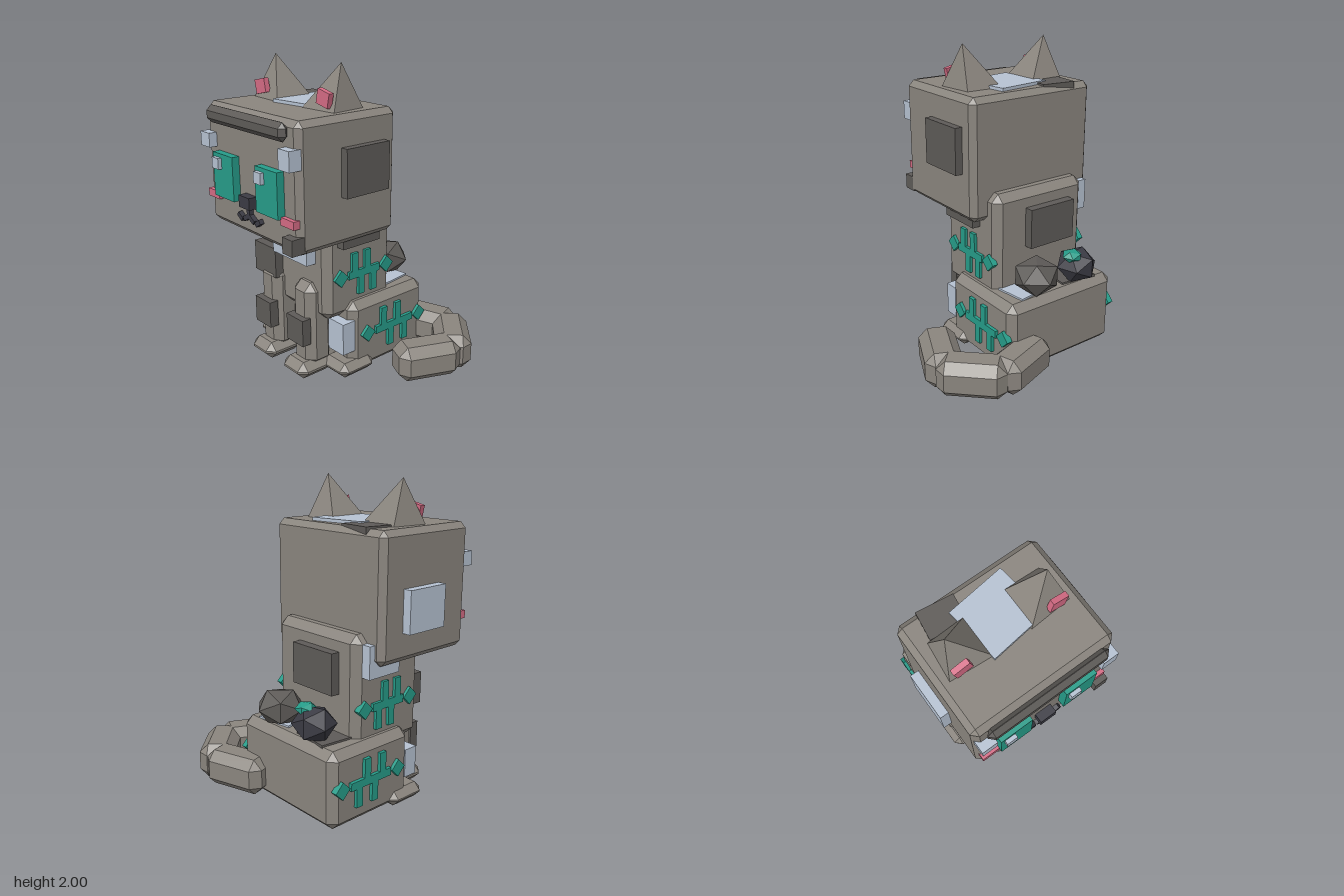
import * as THREE from 'three';
import { ConvexGeometry } from 'three/addons/geometries/ConvexGeometry.js';

const material = (name, color) => {
  const m = new THREE.MeshStandardMaterial({ color });
  m.name = name;
  return m;
};

// Box with single flat bevels along every edge
function chamferBox(w, h, d, b) {
  const pts = [], half = [w / 2, h / 2, d / 2];
  for (const sx of [-1, 1]) for (const sy of [-1, 1]) for (const sz of [-1, 1])
    for (let axis = 0; axis < 3; axis++) {
      const p = [sx, sy, sz].map((s, i) => s * (half[i] - (i === axis ? 0 : b)));
      pts.push(new THREE.Vector3(...p));
    }
  return new ConvexGeometry(pts);
}

export function createModel() {
  const fur = material('grey fur', 0x8a857e);
  const dark = material('dark fur patch', 0x5e5b58);
  const pale = material('pale blue patch', 0xb6c2d2);
  const teal = material('teal', 0x269c89);
  const pink = material('pink', 0xd46b84);
  const ink = material('ink', 0x3b3b44);

  const model = new THREE.Group();
  model.name = 'sittingCat';
  const MID = -0.2; // symmetry plane of the body

  function add(name, geometry, mat, x, y, z, parent = model) {
    const mesh = new THREE.Mesh(geometry, mat);
    mesh.name = name;
    mesh.position.set(x, y, z);
    parent.add(mesh);
    return mesh;
  }
  // Boxes are given by their extents on each axis
  function block(name, mat, x0, x1, y0, y1, z0, z1, bevel = 0) {
    const s = [x1 - x0, y1 - y0, z1 - z0];
    const g = bevel ? chamferBox(...s, bevel) : new THREE.BoxGeometry(...s);
    return add(name, g, mat, (x0 + x1) / 2, (y0 + y1) / 2, (z0 + z1) / 2);
  }

  // Main masses
  block('head', fur, -0.67, 0.27, 0.95, 1.73, -0.14, 0.61, 0.037);
  block('torso', fur, -0.56, 0.16, 0.40, 1.13, -0.23, 0.33, 0.05);
  block('haunches', fur, -0.63, 0.23, 0.01, 0.50, -0.475, 0.18, 0.05);
  block('browRidge', dark, -0.6, 0.2, 1.61, 1.72, 0.6, 0.667, 0.032);

  // Legs, paws, ears, eyes and cheeks, mirrored
  for (const s of [-1, 1]) {
    const leg = MID + s * 0.175, hind = MID + s * 0.345;
    block('frontLeg', fur, leg - 0.1, leg + 0.1, 0.06, 0.64, 0.2, 0.4, 0.052);
    block('frontPaw', fur, leg - 0.12, leg + 0.12, 0, 0.115, 0.2, 0.485, 0.05);
    block('hindPaw', fur, hind - 0.125, hind + 0.125, 0.01, 0.11, 0, 0.285, 0.045);
    block('legPatch', dark, leg - 0.083, leg + 0.083, 0.235, 0.415, 0.38, 0.445);

    const at = (x, y, z) => new THREE.Vector3(s * x, y, z);
    add('ear', new ConvexGeometry([
      at(0.37, 1.73, 0.045), at(0.11, 1.71, 0.025), at(0.11, 1.71, 0.32),
      at(0.395, 1.73, 0.29), at(0.32, 2, 0.17),
    ]), fur, MID, 0, 0);
    const inner = add('innerEar', new THREE.BoxGeometry(0.105, 0.09, 0.035), pink, MID + s * 0.31, 1.805, 0.288);
    inner.rotation.z = -s * 0.22;

    const eye = MID + s * 0.227;
    block('eye', teal, eye - 0.108, eye + 0.108, 1.155, 1.435, 0.58, 0.66);
    const glint = MID + s * 0.225 - 0.05;
    block('eyeGlint', pale, glint - 0.035, glint + 0.035, 1.34, 1.41, 0.64, 0.685);
    const cheek = MID + s * 0.388;
    block('cheek', pink, cheek - 0.063, cheek + 0.063, 1.12, 1.17, 0.59, 0.637);
  }

  // Nose and mouth strokes
  block('nose', ink, -0.255, -0.145, 1.145, 1.22, 0.58, 0.667);
  function stroke(x0, y0, x1, y1) {
    const g = new THREE.BoxGeometry(Math.hypot(x1 - x0, y1 - y0) + 0.01, 0.03, 0.05);
    add('mouth', g, ink, (x0 + x1) / 2, (y0 + y1) / 2, 0.615).rotation.z = Math.atan2(y1 - y0, x1 - x0);
  }
  stroke(MID, 1.16, MID, 1.08);
  for (const s of [-1, 1]) {
    stroke(MID, 1.092, MID + s * 0.05, 1.063);
    stroke(MID + s * 0.075, 1.055, MID + s * 0.112, 1.08);
  }

  // Coat patches
  block('facePatch', pale, -0.66, -0.56, 1.455, 1.545, 0.56, 0.665);
  block('facePatch', pale, 0.16, 0.262, 1.46, 1.58, 0.56, 0.665);
  block('chinPatch', dark, 0.175, 0.268, 0.97, 1.07, 0.56, 0.665);
  block('headSidePatch', pale, -0.725, -0.65, 1.13, 1.39, 0.035, 0.34);
  block('headSidePatch', dark, 0.25, 0.32, 1.25, 1.545, -0.035, 0.3);
  block('chestPatch', pale, -0.295, 0.055, 0.775, 1.06, 0.3, 0.4);
  block('chestPatch', dark, -0.52, -0.29, 0.58, 0.785, 0.3, 0.39);
  block('torsoSidePatch', pale, -0.62, -0.54, 0.88, 1.08, -0.18, 0.07);
  block('torsoSidePatch', dark, 0.14, 0.218, 0.89, 1.09, -0.06, 0.24);
  block('backPatch', dark, -0.42, -0.07, 0.755, 1.015, -0.29, -0.2);
  block('haunchPatch', pale, -0.62, -0.48, 0.165, 0.35, 0.15, 0.248);
  block('haunchPatch', pale, 0.075, 0.22, 0.17, 0.385, 0.15, 0.248);
  block('crownPatch', pale, -0.36, 0.02, 1.7, 1.75, -0.05, 0.31).rotation.y = 0.13;
  block('crownPatch', dark, -0.54, -0.31, 1.7, 1.742, -0.12, 0.06).rotation.y = -0.13;
  block('rumpPatch', pale, -0.13, 0.12, 0.47, 0.512, -0.41, -0.2).rotation.y = 0.13;
  block('rumpPatch', dark, -0.51, -0.25, 0.47, 0.512, -0.42, -0.2).rotation.y = -0.1;

  // Teal side markings: a crossbar, four staggered bars and two diamonds
  function marking(x, y, z, k, barLength) {
    const group = new THREE.Group();
    group.name = 'sideMarking';
    group.position.set(x, y, z);
    model.add(group);
    const plate = (h, d, py, pz) => add('markingBar', new THREE.BoxGeometry(0.04, h, d), teal, 0, py, pz, group);
    plate(0.05, barLength, 0, 0);
    for (const [side, z1, z2] of [[1, 0.08, -0.026], [-1, 0.026, -0.08]])
      for (const pz of [z1, z2]) plate(0.13, 0.05, side * 0.08, pz * k);
    for (const e of [-1, 1]) plate(0.08, 0.08, 0, e * 0.193 * k).rotation.x = Math.PI / 4;
  }
  for (const s of [-1, 1]) {
    marking(MID + s * 0.36, 0.68, 0.03, 1, 0.26);
    marking(MID + s * 0.432, 0.272, -0.177, 1.2, 0.33);
  }

  // Faceted tufts on the rump
  function tuft(name, mat, r, squash, x, y, z, turn) {
    const mesh = add(name, new THREE.IcosahedronGeometry(r, 0), mat, x, y, z);
    mesh.scale.y = squash;
    mesh.rotation.y = turn;
  }
  tuft('rumpTuft', ink, 0.138, 0.85, -0.375, 0.6, -0.385, 0.3);
  tuft('rumpTuft', dark, 0.155, 0.8, -0.045, 0.61, -0.375, 0.9);
  tuft('tealTuft', teal, 0.07, 0.6, -0.32, 0.682, -0.4, 0.4);

  // Curling tail of three bevelled segments: centre x, centre z, length, direction
  for (const [x, z, length, dx, dz] of [
    [0.2, -0.525, 0.43, 0.95, -0.305],
    [0.504, -0.46, 0.43, 0.72, 0.69],
    [0.55, -0.17, 0.42, -0.4, 0.91],
  ]) {
    const segment = add('tailSegment', chamferBox(length, 0.235, 0.235, 0.058), fur, x, 0.148, z);
    segment.rotation.y = Math.atan2(-dz, dx);
  }

  return model;
}
